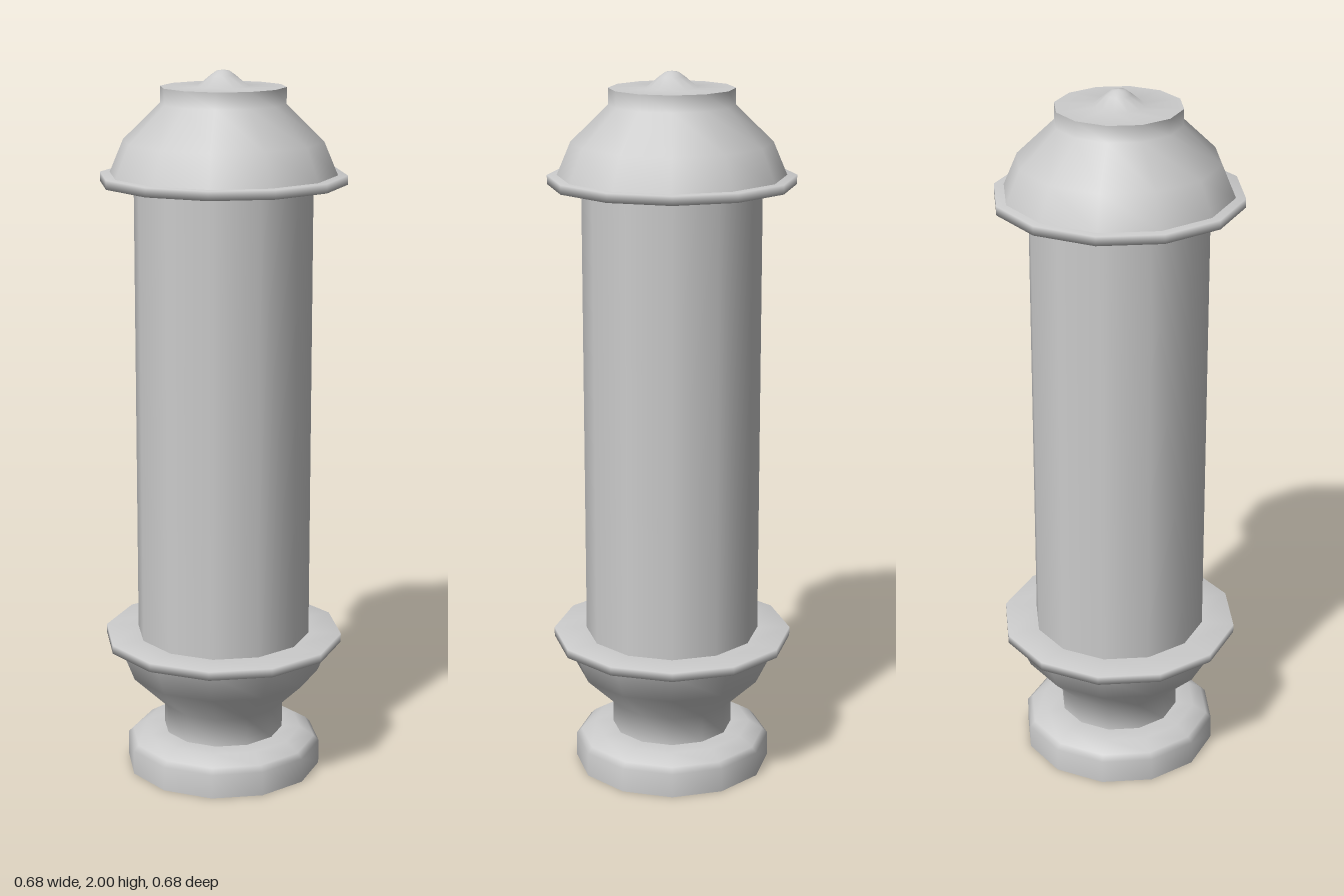
import * as THREE from 'three';

const SIDES = 12;

export function createModel() {
  const model = new THREE.Group();
  const material = new THREE.MeshStandardMaterial({ color: 0xcccccc, side: THREE.DoubleSide });

  // Each part is a twelve-sided turning; the profile runs upwards as [radius, height]
  function turned(name, profile) {
    const points = profile.map(([r, y]) => new THREE.Vector2(r, y));
    const mesh = new THREE.Mesh(new THREE.LatheGeometry(points, SIDES), material);
    mesh.name = name;
    model.add(mesh);
  }

  // Foot, hollow and open underneath
  turned('foot', [[0.28, 0], [0.28, 0.07], [0.265, 0.085], [0.225, 0.11], [0.17, 0.11]]);

  // Neck and flared collar
  turned('collar', [[0.172, 0.11], [0.172, 0.19], [0.275, 0.29], [0.31, 0.378]]);

  // Flange rings, above the collar and under the cap
  for (const [name, y] of [['lowerFlange', 0.378], ['upperFlange', 1.695]]) {
    turned(name, [[0.245, y], [0.34, y], [0.34, y + 0.025], [0.245, y + 0.025]]);
  }

  // Main barrel
  turned('barrel', [[0.247, 0.4], [0.247, 1.7]]);

  // Domed cap, mirroring the collar
  turned('cap', [[0.313, 1.72], [0.275, 1.81], [0.172, 1.91], [0.172, 1.955]]);

  // Flat top with a small rounded knob
  turned('topKnob', [[0.172, 1.955], [0.07, 1.956], [0.035, 1.985], [0.018, 1.997], [0, 2]]);

  return model;
}
